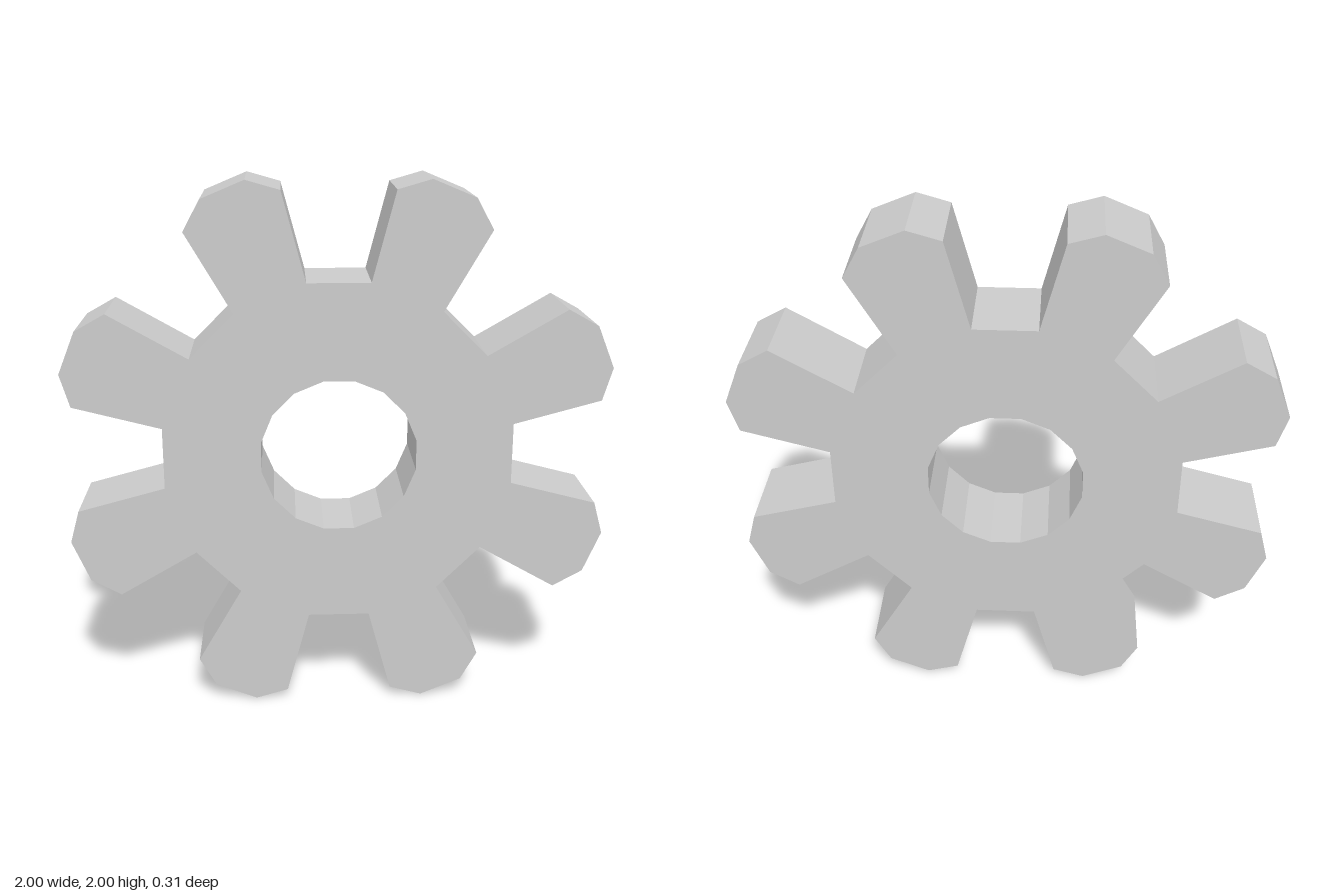
import * as THREE from 'three';

const TEETH = 8;
const THICKNESS = 0.312;

const polar = (radius, degrees) => {
  const a = THREE.MathUtils.degToRad(degrees);
  return new THREE.Vector2(radius * Math.cos(a), radius * Math.sin(a));
};

export function createModel() {
  const group = new THREE.Group();
  group.name = 'gear';

  // One tooth: [radius, angle from the tooth's centre line]
  const tooth = [
    [0.653, -12.35], [0.985, -10.75], [1.05, -4.6],
    [1.05, 4.6], [0.985, 10.75], [0.653, 12.35],
  ];

  // Outline: the tooth repeated around the centre
  const outline = [];
  for (let i = 0; i < TEETH; i++) {
    const centre = (i + 0.5) * 360 / TEETH;
    for (const [r, a] of tooth) outline.push(polar(r, centre + a));
  }
  const shape = new THREE.Shape(outline);

  // Sixteen-sided axle hole
  const hole = [];
  for (let i = 0; i < 16; i++) hole.push(polar(0.291, -(i + 0.5) * 22.5));
  shape.holes.push(new THREE.Path(hole));

  const geometry = new THREE.ExtrudeGeometry(shape, { depth: THICKNESS, bevelEnabled: false });
  geometry.translate(0, 1, -THICKNESS / 2);

  const wheel = new THREE.Mesh(
    geometry,
    new THREE.MeshStandardMaterial({ color: 0xcccccc, flatShading: true })
  );
  wheel.name = 'toothedWheel';
  group.add(wheel);
  return group;
}
